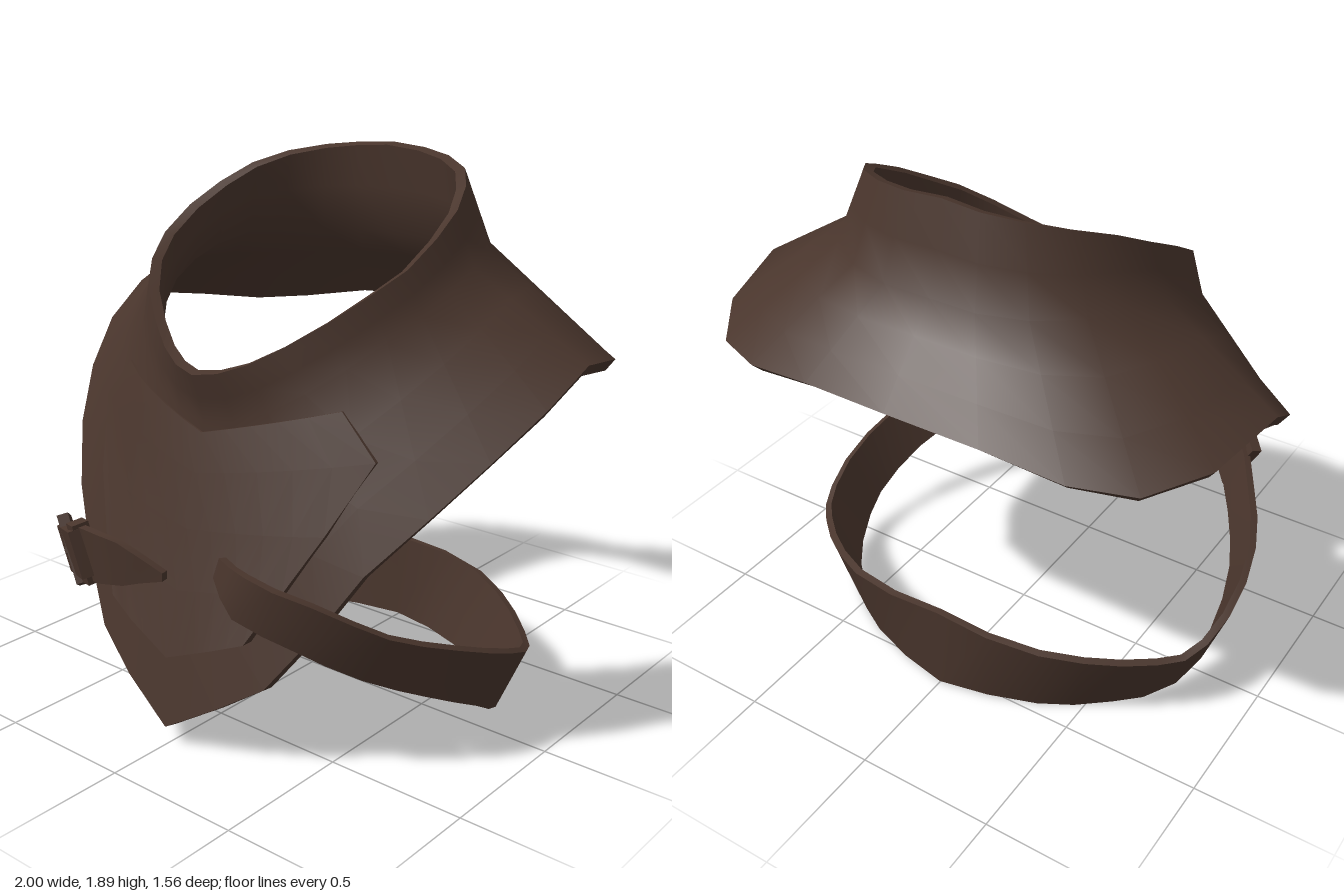
import * as THREE from 'three';
import { toCreasedNormals } from 'three/addons/utils/BufferGeometryUtils.js';

const V = (x, y, z) => new THREE.Vector3(x, y, z);

// Skin rows of points; every row is a closed ring
function loft(rows) {
  const n = rows[0].length, index = [];
  for (let j = 0; j < rows.length - 1; j++) {
    for (let i = 0; i < n; i++) {
      const a = j * n + i, b = j * n + (i + 1) % n;
      index.push(a, b, a + n, b, b + n, a + n);
    }
  }
  const g = new THREE.BufferGeometry();
  g.setAttribute('position', new THREE.Float32BufferAttribute(rows.flat().flatMap(p => p.toArray()), 3));
  g.setIndex(index);
  g.computeVertexNormals();
  return g;
}

// Full ring from its left half, listed from back to front
function ring(half) {
  const left = half.map(p => V(...p));
  const right = left.slice(1, -1).reverse().map(p => V(-p.x, p.y, p.z));
  return [...left, ...right];
}

const RIM = [[0, 1.9, -.45], [.14, 1.89, -.45], [.27, 1.875, -.41], [.39, 1.85, -.33], [.47, 1.81, -.22],
  [.52, 1.75, -.1], [.54, 1.68, .04], [.53, 1.6, .18], [.475, 1.53, .3], [.39, 1.45, .4],
  [.28, 1.37, .48], [.18, 1.31, .54], [.09, 1.275, .58], [0, 1.26, .6]];
const NECK = [[0, 1.6, -.53], [.17, 1.6, -.53], [.33, 1.6, -.48], [.47, 1.6, -.38], [.55, 1.6, -.25],
  [.59, 1.57, -.1], [.6, 1.52, .04], [.58, 1.46, .17], [.53, 1.39, .28], [.45, 1.31, .38],
  [.35, 1.23, .46], [.24, 1.16, .51], [.12, 1.11, .54], [0, 1.09, .55]];
const HEM = [[0, 1.32, -.78], [.33, 1.3, -.755], [.6, 1.25, -.71], [.8, 1.23, -.62], [.94, 1.26, -.43],
  [1, 1.31, -.14], [.97, 1.2, .05], [.89, 1.06, .23], [.78, .9, .39], [.64, .72, .53],
  [.52, .52, .61], [.37, .31, .69], [.2, .2, .74], [0, .08, .77]];

// Strap centre line, from the left chest round the back to the buckled tip: x, y, z, half width
const SIDE = [[.66, .44, .49, .09], [.77, .35, .29, .1], [.81, .24, .04, .11], [.755, .15, -.16, .125], [.6, .15, -.33, .14], [.37, .17, -.48, .155]];
const STRAP = [[.17, .67, .67, .04], [.3, .62, .715, .085], [.5, .555, .65, .09], ...SIDE, [0, .185, -.55, .165],
  ...SIDE.map(([x, ...r]) => [-x, ...r]).reverse(),
  [-.5, .56, .675, .095], [-.36, .59, .735, .1], [-.2, .61, .75, .08], [-.03, .6, .72, .015]];
const strapCurve = new THREE.CatmullRomCurve3(STRAP.map(p => V(p[0], p[1], p[2])));

// Position, direction, width axis and outward axis of the strap at point number k
function strapFrame(k) {
  const t = k / (STRAP.length - 1);
  const p = strapCurve.getPoint(t), along = strapCurve.getTangent(t);
  const out = V(p.x, -.4 * Math.abs(p.x), p.z).normalize();
  const up = out.clone().cross(along).normalize();
  out.crossVectors(along, up);
  const i = Math.min(Math.floor(k), STRAP.length - 2);
  const half = THREE.MathUtils.lerp(STRAP[i][3], STRAP[i + 1][3], k - i);
  return { p, along, up, out, half };
}

function strapGeometry() {
  const rows = [], steps = (STRAP.length - 1) * 2;
  for (let s = 0; s <= steps; s++) {
    const { p, up, out, half } = strapFrame(s / 2);
    rows.push([[1, 1], [-1, 1], [-1, -1], [1, -1]].map(([a, b]) =>
      p.clone().addScaledVector(up, a * half).addScaledVector(out, b * .013)));
  }
  const cap = row => row.map(() => row.reduce((s, q) => s.add(q), V(0, 0, 0)).divideScalar(4));
  return loft([cap(rows[0]), ...rows, cap(rows.at(-1))]);
}

// Chest panel laid on the surface underneath, standing proud towards its point
function panelGeometry(surface) {
  const ray = new THREE.Raycaster();
  const drop = (x, y, lift) => {
    ray.set(V(x, y, 2), V(0, 0, -1));
    const hit = ray.intersectObject(surface)[0];
    return V(x, y, (hit ? hit.point.z : .4) + lift);
  };
  // centre height, edge height, half width, lift
  const profile = [[1.06, 1.19, .47, .006], [.93, 1.05, .6, .012], [.75, .82, .5, .018], [.55, .63, .4, .028], [.33, .45, .3, .04]];
  const row = ([yc, ye, w, lift]) => {
    const pts = [];
    for (let i = 0; i <= 10; i++) {
      const s = 1 - i / 5;
      pts.push(drop(s * w, THREE.MathUtils.lerp(yc, ye, Math.abs(s)), lift));
    }
    return [...pts, ...pts.slice().reverse().map(p => p.clone().setZ(p.z - lift - .015))];
  };
  const sunk = ([yc, ye, w]) => row([yc, ye, w, -.01]);
  return loft([sunk(profile[0]), ...profile.map(row), sunk(profile.at(-1))]);
}

// Rectangular frame with a rectangular hole
function frameGeometry(w, h, bar, depth) {
  const box = (S, a, b) => new S([V(-a, -b), V(a, -b), V(a, b), V(-a, b)].map(p => new THREE.Vector2(p.x, p.y)));
  const shape = box(THREE.Shape, w / 2, h / 2);
  shape.holes.push(box(THREE.Path, w / 2 - bar, h / 2 - bar));
  return new THREE.ExtrudeGeometry(shape, { depth, bevelEnabled: false }).translate(0, 0, -depth / 2);
}

export function createModel() {
  const model = new THREE.Group();
  model.name = 'leatherMantle';
  const leather = new THREE.MeshStandardMaterial({ color: 0x49352c });
  leather.name = 'darkBrownLeather';
  const add = (name, geometry, crease = .9) => {
    const mesh = new THREE.Mesh(toCreasedNormals(geometry, crease), leather);
    mesh.name = name;
    model.add(mesh);
    return mesh;
  };

  // Standing collar flowing into shoulders and pointed chest, with a padded lining
  const rim = ring(RIM), neck = ring(NECK), hem = ring(HEM);
  const between = (a, b, t) => a.map((p, i) => p.clone().lerp(b[i], t));
  const outer = [rim, between(rim, neck, .5), neck, between(neck, hem, .33), between(neck, hem, .67), hem];
  const padding = [.035, .055, .075, .06, .05, .05];
  const shell = loft(outer);
  const normal = shell.getAttribute('normal');
  const inner = outer.map((row, j) => row.map((p, i) =>
    p.clone().addScaledVector(V(0, 0, 0).fromBufferAttribute(normal, j * row.length + i), -padding[j])));
  add('collarAndMantle', loft([...outer, ...inner.reverse(), rim]));

  add('chestPanel', panelGeometry(new THREE.Mesh(shell, leather)), .6);
  add('strap', strapGeometry(), .7);

  // Buckle, prong, keeper loop and doubled strap end, seated on the strap
  const seat = (mesh, k, lift) => {
    const { p, along, up, out } = strapFrame(k);
    mesh.quaternion.setFromRotationMatrix(new THREE.Matrix4().makeBasis(along, up, out));
    mesh.position.copy(p).addScaledVector(out, lift);
  };
  const first = STRAP.length - 5; // strap point just before the buckle
  seat(add('buckleFrame', frameGeometry(.15, .25, .03, .04)), first + .75, .02);
  seat(add('bucklePin', new THREE.BoxGeometry(.15, .022, .02)), first + .75, .035);
  seat(add('keeperLoop', new THREE.BoxGeometry(.06, .22, .06)), first + 1.6, 0);
  seat(add('strapOverlap', new THREE.BoxGeometry(.22, .17, .05)), first + 1.2, .015);
  return model;
}
